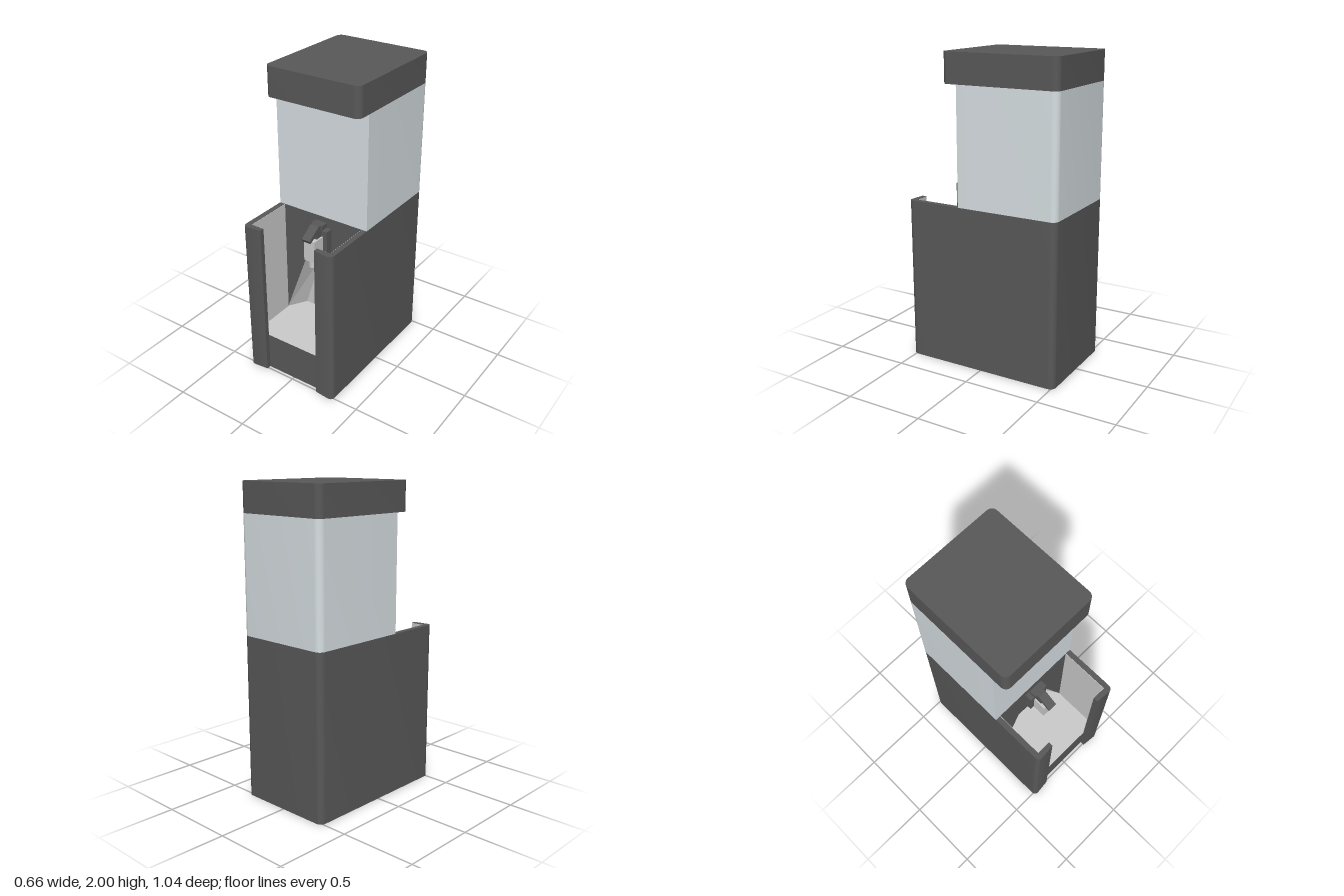
import * as THREE from 'three';
import { toCreasedNormals } from 'three/addons/utils/BufferGeometryUtils.js';

export function createModel() {
  const model = new THREE.Group();
  const dark = new THREE.MeshStandardMaterial({ color: 0x595959 });
  const light = new THREE.MeshStandardMaterial({ color: 0xcccccc, side: THREE.DoubleSide });
  const clear = new THREE.MeshStandardMaterial({ color: 0xd8e0e3 });

  function add(name, geometry, material, x = 0, y = 0, z = 0) {
    const mesh = new THREE.Mesh(geometry, material);
    mesh.name = name;
    mesh.position.set(x, y, z);
    model.add(mesh);
    return mesh;
  }
  const box = (w, h, d) => new THREE.BoxGeometry(w, h, d);

  // Extrudes a plan drawn with (x, -z) coordinates upward
  function raise(shape, height) {
    const g = new THREE.ExtrudeGeometry(shape, { depth: height, bevelEnabled: false, curveSegments: 6 });
    return toCreasedNormals(g.rotateX(-Math.PI / 2), 0.6);
  }

  // Plan with rounded back corners and optionally rounded front corners
  function plan(halfWidth, back, front, rb, rf) {
    const s = new THREE.Shape(), w = halfWidth, b = -back, f = -front;
    s.moveTo(-w + rf, f);
    s.lineTo(w - rf, f);
    if (rf) s.absarc(w - rf, f + rf, rf, -Math.PI / 2, 0);
    s.lineTo(w, b - rb);
    s.absarc(w - rb, b - rb, rb, 0, Math.PI / 2);
    s.lineTo(-w + rb, b);
    s.absarc(-w + rb, b - rb, rb, Math.PI / 2, Math.PI);
    s.lineTo(-w, f + rf);
    if (rf) s.absarc(-w + rf, f + rf, rf, Math.PI, Math.PI * 1.5);
    return s;
  }

  // Base shell: solid back, side walls and front flanges around an open bay
  const W = 0.33, IN = 0.295, H = 1.06, R = 0.04;
  const shell = new THREE.Shape();
  shell.moveTo(0.2, -0.51);
  shell.lineTo(0.3, -0.52);
  shell.quadraticCurveTo(W, -0.52, W, -0.48);
  shell.lineTo(W, 0.52 - R);
  shell.absarc(W - R, 0.52 - R, R, 0, Math.PI / 2);
  shell.lineTo(-W + R, 0.52);
  shell.absarc(-W + R, 0.52 - R, R, Math.PI / 2, Math.PI);
  shell.lineTo(-W, -0.48);
  shell.quadraticCurveTo(-W, -0.52, -0.3, -0.52);
  shell.lineTo(-0.2, -0.51);
  shell.lineTo(-0.2, -0.48);
  shell.lineTo(-IN, -0.48);
  shell.lineTo(-IN, -0.02);
  shell.lineTo(IN, -0.02);
  shell.lineTo(IN, -0.48);
  shell.lineTo(0.2, -0.48);
  add('baseShell', raise(shell, H), dark);

  // Tray block with pale floor
  add('trayBlock', box(2 * IN, 0.26, 0.46), dark, 0, 0.13, 0.25);
  add('trayFloor', new THREE.PlaneGeometry(2 * IN, 0.46).rotateX(-Math.PI / 2), light, 0, 0.262, 0.25);

  // Pale lining on the side walls and behind the flanges
  for (const s of [-1, 1]) {
    add('wallLining', box(0.004, H - 0.263, 0.33), light, s * (IN - 0.001), (H + 0.259) / 2, 0.315);
    add('flangeLining', box(0.094, H - 0.263, 0.004), light, s * 0.248, (H + 0.259) / 2, 0.479);
  }

  // Inner panel with a tapered opening above the floor
  const outer = [[-IN, 0.26], [-0.13, 0.71], [0.13, 0.71], [IN, 0.26]];
  const inner = [[-0.222, 0.26], [-0.1, 0.655], [0.1, 0.655], [0.222, 0.26]];
  const panel = new THREE.Shape(
    [...outer, [IN, H], [-IN, H]].map(([x, y]) => new THREE.Vector2(x, y)));
  add('innerPanel', new THREE.ExtrudeGeometry(panel, { depth: 0.13, bevelEnabled: false }), dark, 0, 0, 0.02);

  // Recess lining: back face plus sloped sides and top
  const recess = [];
  const quad = (a, b, c, d) => recess.push(...a, ...b, ...c, ...a, ...c, ...d);
  const front = outer.map(([x, y]) => [x, y, 0.15]);
  const rear = inner.map(([x, y]) => [x, y, 0.03]);
  quad(rear[0], rear[3], rear[2], rear[1]);
  for (let i = 0; i < 3; i++) quad(front[i], rear[i], rear[i + 1], front[i + 1]);
  const recessGeometry = new THREE.BufferGeometry();
  recessGeometry.setAttribute('position', new THREE.Float32BufferAttribute(recess, 3));
  recessGeometry.computeVertexNormals();
  add('recessLining', recessGeometry, light);

  // Tap: mounting plate, body, spout and bent lever
  add('tapMount', box(0.14, 0.18, 0.05), dark, 0, 0.9, 0.175);
  add('tapBody', raise(plan(0.04, -0.29, -0.15, 0.02, 0), 0.15), light, 0, 0.8, 0).rotation.y = 0;
  model.children.at(-1).geometry.dispose();
  model.children.at(-1).geometry = box(0.08, 0.15, 0.12).translate(0, 0.075, 0.23);
  add('tapSpout', new THREE.CylinderGeometry(0.03, 0.03, 0.05, 16), light, 0, 0.775, 0.25);

  const lever = new THREE.Shape([
    [0.19, 0.95], [0.25, 0.95], [0.25, 0.985], [0.315, 0.95],
    [0.325, 0.97], [0.23, 1.03], [0.16, 1.03], [0.16, 1.0], [0.19, 0.99],
  ].map(([z, y]) => new THREE.Vector2(z, y)));
  const leverGeometry = new THREE.ExtrudeGeometry(lever, { depth: 0.06, bevelEnabled: false })
    .translate(0, 0, -0.03).rotateY(-Math.PI / 2);
  add('tapLever', leverGeometry, dark);
  add('leverHead', box(0.085, 0.03, 0.05), dark, 0, 1.015, 0.185);

  // Tank and overhanging lid
  add('tank', raise(plan(W, -0.52, 0.15, R, 0), 0.75), clear, 0, H, 0);
  add('lid', raise(plan(W, -0.52, 0.25, R, R), 0.19), dark, 0, 1.81, 0);

  return model;
}
